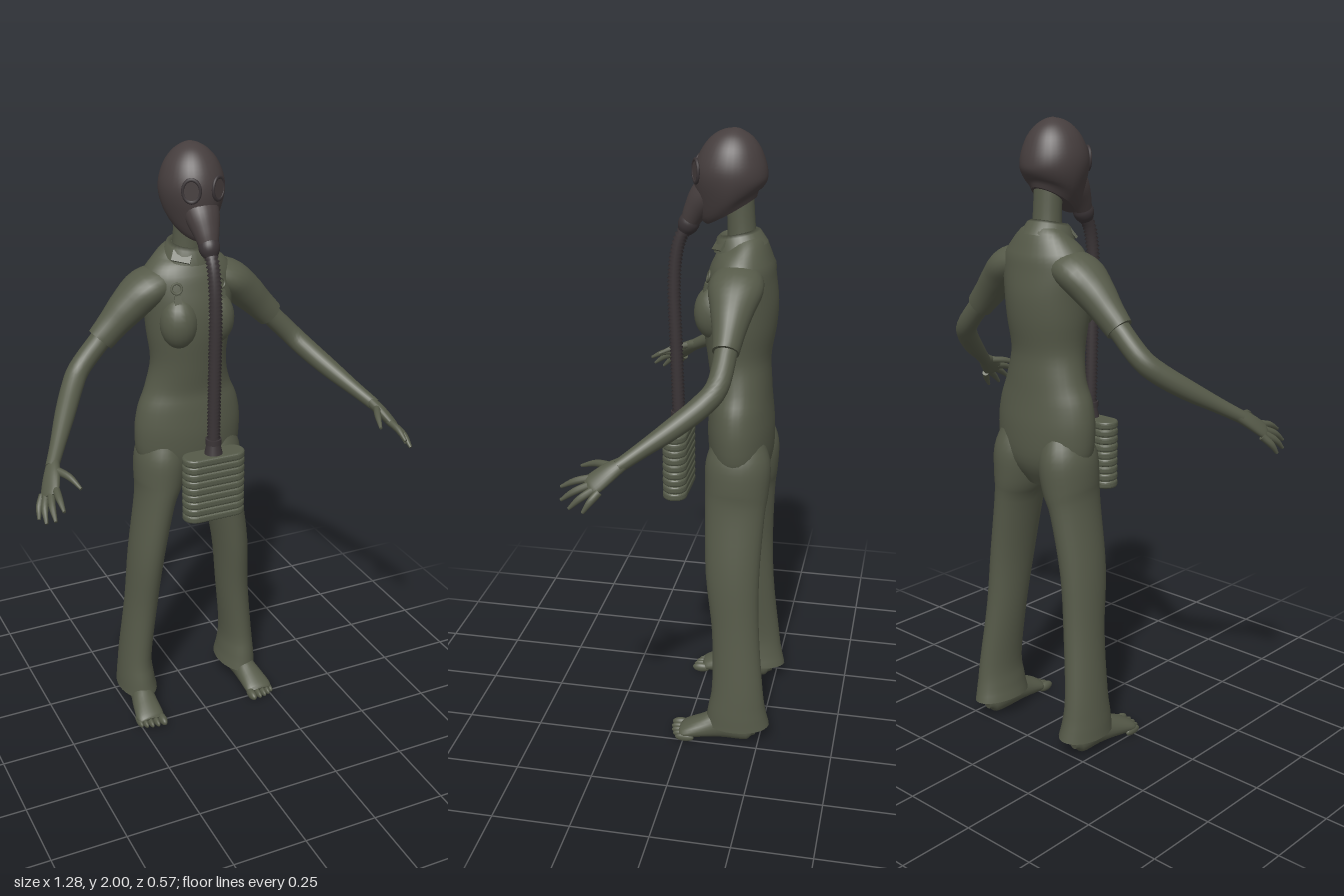
import * as THREE from 'three';

const mat = (name, color) => {
  const m = new THREE.MeshStandardMaterial({ color });
  m.name = name;
  return m;
};

// Skin elliptical sections along a path; stations are [x, y, z, radius along side, radius across]
function sweep(stations, side = [1, 0, 0], { per = 4, segs = 24, deform } = {}) {
  const path = new THREE.CatmullRomCurve3(stations.map(s => new THREE.Vector3(s[0], s[1], s[2])), false, 'catmullrom');
  const radii = new THREE.CatmullRomCurve3(stations.map(s => new THREE.Vector3(s[3], s[4] ?? s[3], 0)), false, 'catmullrom');
  const rows = (stations.length - 1) * per, pos = [], idx = [];
  for (let i = 0; i <= rows; i++) {
    const c = path.getPoint(i / rows), r = radii.getPoint(i / rows), t = path.getTangent(i / rows);
    const n = new THREE.Vector3(...side);
    n.addScaledVector(t, -n.dot(t)).normalize();
    const b = t.clone().cross(n);
    for (let j = 0; j < segs; j++) {
      const a = j / segs * Math.PI * 2;
      const p = c.clone().addScaledVector(n, r.x * Math.cos(a)).addScaledVector(b, r.y * Math.sin(a));
      if (deform) deform(p);
      pos.push(p.x, p.y, p.z);
    }
  }
  for (let i = 0; i < rows; i++) for (let j = 0; j < segs; j++) {
    const k = (j + 1) % segs, a = i * segs + j, b = i * segs + k;
    idx.push(a, b, b + segs, a, b + segs, a + segs);
  }
  // Flat end caps with their own vertices
  for (const [row, flip] of [[0, true], [rows, false]]) {
    const base = pos.length / 3, mid = [0, 0, 0];
    for (let j = 0; j < segs; j++) for (let q = 0; q < 3; q++) {
      const v = pos[(row * segs + j) * 3 + q];
      pos.push(v);
      mid[q] += v / segs;
    }
    pos.push(...mid);
    for (let j = 0; j < segs; j++) {
      const a = base + j, b = base + (j + 1) % segs;
      idx.push(base + segs, flip ? b : a, flip ? a : b);
    }
  }
  const g = new THREE.BufferGeometry();
  g.setAttribute('position', new THREE.Float32BufferAttribute(pos, 3));
  g.setIndex(idx);
  g.computeVertexNormals();
  return g;
}

export function createModel() {
  const model = new THREE.Group();
  model.name = 'maskedFigure';
  const cloth = mat('olive cloth', 0x565a49);
  const rubber = mat('brown rubber', 0x463e3e);
  const hoseMat = mat('dark hose', 0x3a3436);
  const tin = mat('olive canister', 0x555a49);
  const add = (name, geo, m, parent = model) => {
    const mesh = new THREE.Mesh(geo, m);
    mesh.name = name;
    parent.add(mesh);
    return mesh;
  };
  const ball = (name, m, p, s) => {
    const b = add(name, new THREE.SphereGeometry(1, 20, 14), m);
    b.position.set(...p);
    b.scale.set(...s);
    return b;
  };

  // Torso and hips
  add('torso', sweep([
    [0, 0.87, -0.15, 0.06, 0.05], [0, 0.95, -0.15, 0.165, 0.095], [0, 1.05, -0.147, 0.185, 0.105],
    [0, 1.14, -0.145, 0.174, 0.1], [0, 1.21, -0.145, 0.146, 0.095], [0, 1.3, -0.137, 0.127, 0.1],
    [0, 1.4, -0.137, 0.138, 0.115], [0, 1.48, -0.139, 0.145, 0.117], [0, 1.55, -0.143, 0.153, 0.106],
    [0, 1.6, -0.148, 0.145, 0.094], [0, 1.645, -0.15, 0.105, 0.072], [0, 1.68, -0.142, 0.06, 0.05],
  ], [1, 0, 0], { segs: 36 }), cloth);
  add('neck', sweep([[0, 1.6, -0.145, 0.055, 0.05], [0, 1.7, -0.138, 0.046, 0.043], [0, 1.83, -0.13, 0.046, 0.042]]), cloth);
  const collar = add('collar', new THREE.LatheGeometry(
    [[0.085, 0], [0.068, 0.04], [0.056, 0.048], [0.052, 0.02]].map(p => new THREE.Vector2(...p)), 28), cloth);
  cloth.side = THREE.DoubleSide;
  collar.position.set(0, 1.645, -0.137);
  collar.rotation.x = 0.2;

  for (const s of [1, -1]) {
    const side = s > 0 ? 'left' : 'right';
    const m = list => list.map(([x, ...rest]) => [x * s, ...rest]);

    ball(side + 'Chest', cloth, [s * 0.062, 1.45, -0.065], [0.062, 0.085, 0.062]);

    // Collar flap and chest pocket fastening
    const flap = add(side + 'CollarFlap', new THREE.BoxGeometry(0.06, 0.035, 0.008), cloth);
    flap.position.set(s * 0.045, 1.655, -0.078);
    flap.rotation.set(-0.7, s * 0.4, s * 0.5);
    const ring = add(side + 'PocketRing', new THREE.TorusGeometry(0.016, 0.004, 8, 18), cloth);
    ring.position.set(s * 0.075, 1.565, -0.05);
    ring.rotation.set(-0.25, s * 0.25, 0);
    const tab = add(side + 'PocketTab', new THREE.BoxGeometry(0.022, 0.03, 0.008), cloth);
    tab.position.set(s * 0.075, 1.53, -0.04);
    tab.rotation.set(-0.25, s * 0.25, 0);

    // Short sleeve
    add(side + 'Sleeve', sweep(m([
      [0.06, 1.575, -0.145, 0.07, 0.05], [0.14, 1.55, -0.145, 0.084, 0.06], [0.2, 1.5, -0.144, 0.066, 0.058],
      [0.25, 1.45, -0.144, 0.05, 0.05], [0.297, 1.402, -0.143, 0.04, 0.045],
    ]), [0, 0, 1]), cloth);

    // Bare arm
    add(side + 'Arm', sweep(m([
      [0.26, 1.44, -0.143, 0.035], [0.31, 1.388, -0.143, 0.034], [0.375, 1.32, -0.132, 0.034],
      [0.415, 1.275, -0.093, 0.034], [0.465, 1.222, -0.022, 0.031], [0.515, 1.172, 0.055, 0.024],
      [0.558, 1.13, 0.12, 0.02],
    ]), [0, 1, 0]), cloth);

    // Hand with four fingers and a thumb
    add(side + 'Palm', sweep(m([
      [0.55, 1.138, 0.108, 0.021, 0.018], [0.568, 1.115, 0.145, 0.03, 0.018],
      [0.588, 1.084, 0.185, 0.034, 0.015], [0.594, 1.075, 0.198, 0.028, 0.01],
    ]), [0.035 * s, -0.03, -0.03]), cloth);
    const fingers = [
      [[0.572, 1.097, 0.187], [0.578, 1.085, 0.24], [0.579, 1.063, 0.284]],
      [[0.586, 1.084, 0.187], [0.6, 1.062, 0.238], [0.604, 1.033, 0.278]],
      [[0.598, 1.074, 0.178], [0.617, 1.048, 0.218], [0.624, 1.017, 0.25]],
      [[0.605, 1.068, 0.165], [0.624, 1.042, 0.187], [0.633, 1.012, 0.207]],
      [[0.556, 1.13, 0.135], [0.528, 1.123, 0.19], [0.51, 1.103, 0.24]],
    ];
    fingers.forEach((f, i) => add(side + (i < 4 ? 'Finger' + (i + 1) : 'Thumb'),
      sweep(m(f.map((p, k) => [...p, [0.012, 0.0105, 0.005][k]])), [0, 1, 0], { segs: 10 }), cloth));

    // Flared trouser leg
    add(side + 'TrouserLeg', sweep(m([
      [0.195, 0.06, -0.176, 0.066, 0.108], [0.198, 0.11, -0.175, 0.06, 0.098], [0.197, 0.2, -0.175, 0.053, 0.085],
      [0.176, 0.4, -0.163, 0.054, 0.078], [0.158, 0.6, -0.148, 0.058, 0.088], [0.124, 0.8, -0.147, 0.064, 0.097],
      [0.107, 0.88, -0.15, 0.08, 0.103], [0.097, 0.97, -0.152, 0.084, 0.104], [0.09, 1.05, -0.15, 0.06, 0.08],
    ]), [1, 0, 0], { segs: 28 }), cloth);

    // Bare foot with toes
    add(side + 'Foot', sweep(m([
      [0.2, 0.038, -0.242, 0.014, 0.018], [0.2, 0.046, -0.215, 0.036, 0.044], [0.2, 0.052, -0.13, 0.037, 0.052],
      [0.207, 0.038, -0.06, 0.045, 0.037], [0.212, 0.024, -0.005, 0.049, 0.023], [0.212, 0.018, 0.012, 0.038, 0.014],
    ])), cloth);
    for (let i = 0; i < 5; i++) {
      ball(side + 'Toe' + (i + 1), cloth, [s * [0.175, 0.199, 0.219, 0.237, 0.253][i], 0.017 - i * 0.001, 0.018 - i * i * 0.0015],
        [i ? 0.0095 : 0.014, i ? 0.014 : 0.017, 0.032]);
    }
  }

  // Mask: skull tapering to the front, lower rim tilted down at the face
  add('maskHead', sweep([
    [0, 1.755, -0.108, 0.062, 0.076], [0, 1.79, -0.102, 0.085, 0.096], [0, 1.84, -0.103, 0.099, 0.111],
    [0, 1.89, -0.105, 0.099, 0.108], [0, 1.94, -0.108, 0.082, 0.088], [0, 1.975, -0.11, 0.055, 0.06],
    [0, 1.994, -0.111, 0.026, 0.028], [0, 2, -0.111, 0.003, 0.003],
  ], [1, 0, 0], {
    segs: 36,
    deform: p => {
      const k = 1 - THREE.MathUtils.smoothstep(p.y, 1.76, 1.88), d = p.z + 0.11;
      p.y -= 0.42 * k * d;
      p.x *= 1 - 3 * k * Math.max(d, 0);
    },
  }), rubber);
  add('maskSnout', sweep([
    [0, 1.84, -0.06, 0.06, 0.05], [0, 1.79, -0.022, 0.054, 0.048], [0, 1.75, 0.004, 0.042, 0.038],
    [0, 1.715, 0.022, 0.031, 0.029],
  ]), rubber);
  add('snoutConnector', sweep([
    [0, 1.725, 0.017, 0.03], [0, 1.71, 0.025, 0.033], [0, 1.695, 0.032, 0.03], [0, 1.682, 0.038, 0.022],
  ]), hoseMat);

  // Eyepieces
  for (const s of [1, -1]) {
    const eye = new THREE.Group();
    eye.name = s > 0 ? 'leftEyepiece' : 'rightEyepiece';
    eye.position.set(s * 0.044, 1.876, -0.004);
    eye.rotation.y = s * 0.5;
    eye.scale.y = 1.3;
    add('eyeRim', new THREE.TorusGeometry(0.026, 0.005, 10, 32), hoseMat, eye);
    const lens = add('eyeLens', new THREE.CylinderGeometry(0.026, 0.026, 0.006, 32), rubber, eye);
    lens.rotation.x = Math.PI / 2;
    model.add(eye);
  }

  // Ribbed breathing hose
  const hosePath = new THREE.CatmullRomCurve3([[1.695, 0.033], [1.66, 0.053], [1.6, 0.067], [1.5, 0.073], [1.3, 0.067], [1.075, 0.06]]
    .map(([y, z]) => new THREE.Vector3(0, y, z)));
  const ribs = hosePath.getSpacedPoints(100).map((p, i) => [p.x, p.y, p.z, i % 2 ? 0.022 : 0.016]);
  add('hose', sweep(ribs, [1, 0, 0], { per: 1, segs: 18 }), hoseMat);

  // Filter canister: stacked rounded ridges
  const canister = new THREE.Group();
  canister.name = 'filterCanister';
  model.add(canister);
  const r = 0.033, w = 0.067;
  const outline = new THREE.Shape();
  outline.absarc(w, 0, r, -Math.PI / 2, Math.PI / 2);
  outline.absarc(-w, 0, r, Math.PI / 2, Math.PI * 1.5);
  const ridge = new THREE.ExtrudeGeometry(outline, {
    depth: 0.009, bevelThickness: 0.008, bevelSize: 0.007, bevelSegments: 3, curveSegments: 14,
  });
  ridge.rotateX(-Math.PI / 2);
  for (let i = 0; i < 9; i++) {
    add('ridge' + (i + 1), ridge, tin, canister).position.set(0, 0.823 + i * 0.025, 0.06);
  }
  const fitting = add('canisterFitting', new THREE.CylinderGeometry(0.022, 0.03, 0.035, 24), hoseMat, canister);
  fitting.position.set(0, 1.055, 0.06);
  const nut = add('canisterNut', new THREE.CylinderGeometry(0.026, 0.026, 0.018, 24), hoseMat, canister);
  nut.position.set(0, 1.082, 0.06);

  return model;
}
